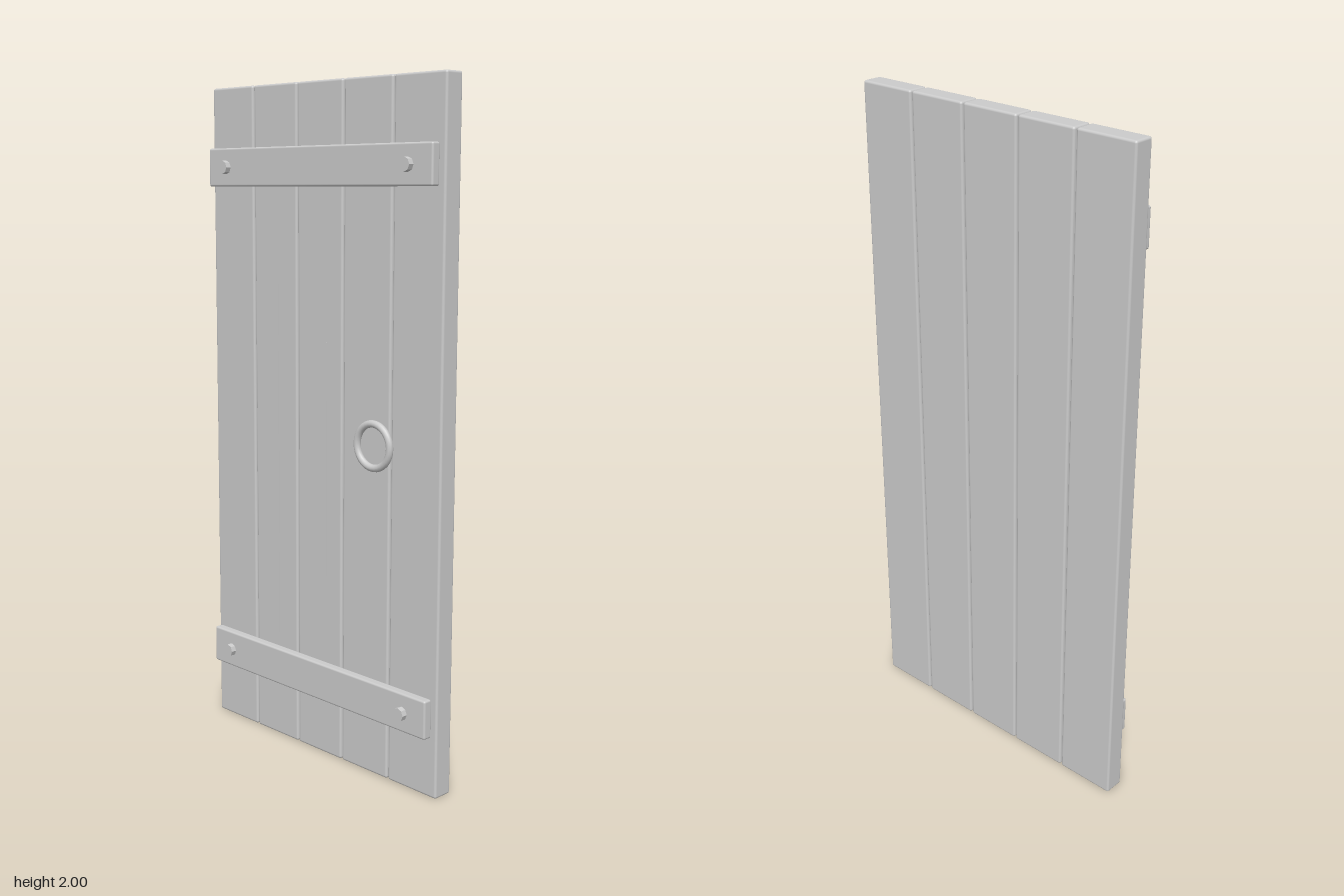
import * as THREE from 'three';
import { RoundedBoxGeometry } from 'three/addons/geometries/RoundedBoxGeometry.js';

export function createModel() {
  const door = new THREE.Group();
  door.name = 'plankDoor';
  const material = new THREE.MeshStandardMaterial({ color: 0xcccccc });

  const add = (name, geometry, x, y, z) => {
    const mesh = new THREE.Mesh(geometry, material);
    mesh.name = name;
    mesh.position.set(x, y, z);
    door.add(mesh);
    return mesh;
  };

  // Five upright planks with narrow gaps
  const plank = new RoundedBoxGeometry(0.185, 2, 0.063, 2, 0.007);
  for (let i = -2; i <= 2; i++) add('plank', plank, i * 0.1905, 1, -0.0435);

  // Two cross battens, each with a bolt head near either end
  const batten = new RoundedBoxGeometry(0.914, 0.114, 0.029, 2, 0.006);
  const bolt = new THREE.CylinderGeometry(0.02, 0.02, 0.017, 8).toNonIndexed();
  bolt.rotateX(Math.PI / 2);
  bolt.computeVertexNormals();
  for (const y of [0.238, 1.762]) {
    add('batten', batten, 0, y, 0.006);
    for (const side of [-1, 1]) add('bolt', bolt, side * 0.372, y, 0.031);
  }

  // Pull ring
  add('ringHandle', new THREE.TorusGeometry(0.062, 0.0105, 12, 32), 0.294, 1.002, 0.065);

  // Thin grain strips: x, centre height, length
  for (const [x, y, length] of [[-0.18, 0.8, 1.24], [0.03, 0.91, 0.7]]) {
    add('woodGrain', new THREE.BoxGeometry(0.004, length, 0.003), x, y, -0.0118);
  }

  return door;
}
